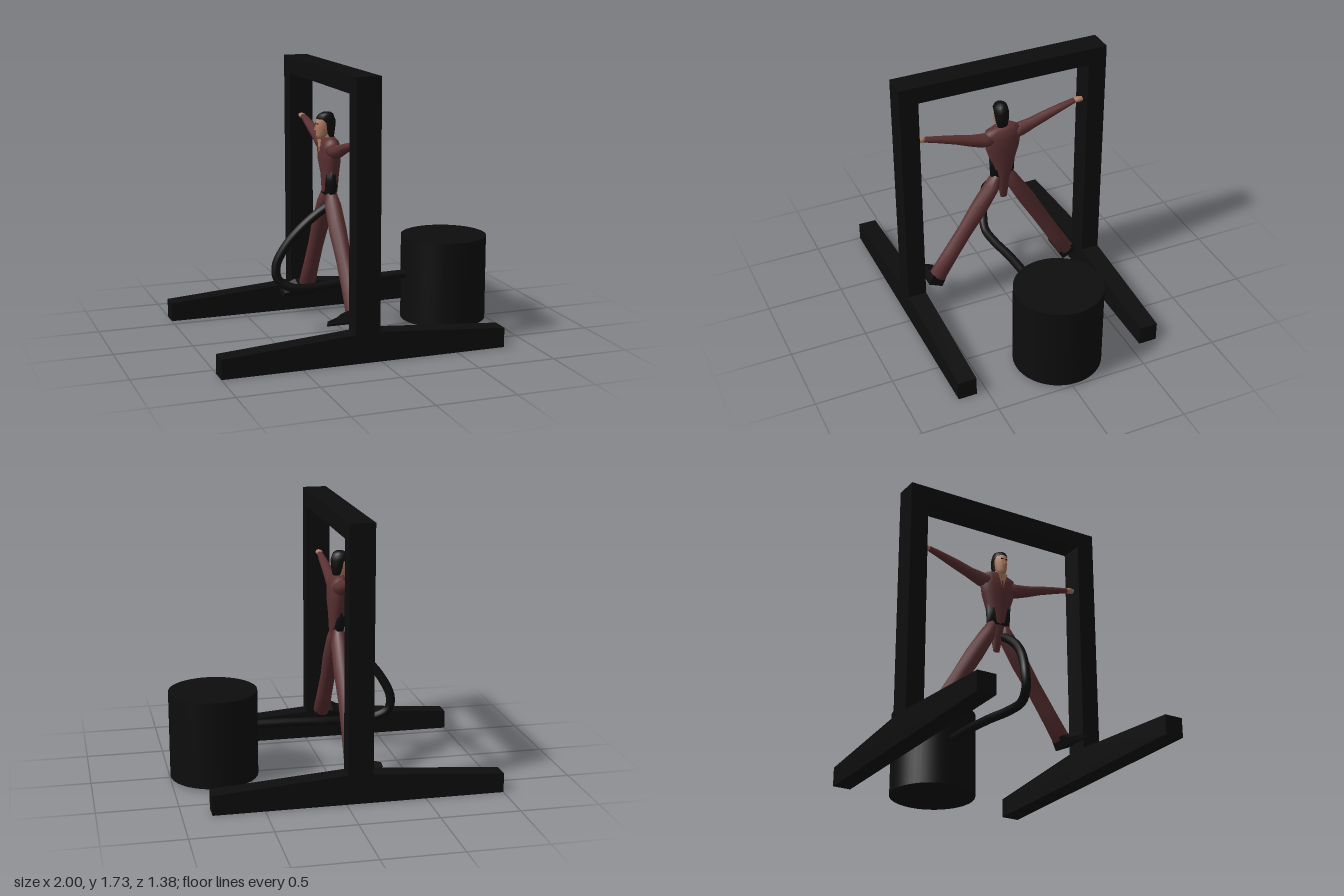
import * as THREE from 'three';

const mat = (name, color) => {
  const m = new THREE.MeshStandardMaterial({ color });
  m.name = name;
  return m;
};

// Closed skin through elliptical rings: [x, y, z, radius along x, radius across]
function loft(rings, sides = 10) {
  const pos = [], idx = [], n = rings.length, X = new THREE.Vector3(1, 0, 0);
  const c = rings.map(r => new THREE.Vector3(r[0], r[1], r[2]));
  rings.forEach((r, i) => {
    const t = c[Math.min(i + 1, n - 1)].clone().sub(c[Math.max(i - 1, 0)]);
    t.x = 0;
    const v = t.normalize().cross(X);
    for (let j = 0; j < sides; j++) {
      const a = j / sides * Math.PI * 2;
      const p = c[i].clone().addScaledVector(X, Math.cos(a) * r[3]).addScaledVector(v, Math.sin(a) * r[4]);
      pos.push(p.x, p.y, p.z);
    }
  });
  pos.push(...c[0].toArray(), ...c[n - 1].toArray());
  for (let j = 0; j < sides; j++) {
    const k = (j + 1) % sides, e = (n - 1) * sides;
    for (let i = 0; i < n - 1; i++) {
      const o = i * sides;
      idx.push(o + j, o + k, o + sides + k, o + j, o + sides + k, o + sides + j);
    }
    idx.push(n * sides, k, j, n * sides + 1, e + j, e + k);
  }
  const g = new THREE.BufferGeometry();
  g.setAttribute('position', new THREE.Float32BufferAttribute(pos, 3));
  g.setIndex(idx);
  g.computeVertexNormals();
  return g;
}

// Side profile in x and y, given thickness centred on z = 0
function slab(points, depth) {
  const shape = new THREE.Shape(points.map(p => new THREE.Vector2(p[0], p[1])));
  return new THREE.ExtrudeGeometry(shape, { depth, bevelEnabled: false }).translate(0, 0, -depth / 2);
}

export function createModel() {
  const black = mat('black', 0x0d0d0d);
  const cloth = mat('maroon cloth', 0x5a3031);
  const skin = mat('skin', 0xb07c60);
  const root = new THREE.Group();
  const figure = new THREE.Group();
  figure.name = 'figure';
  root.add(figure);
  const add = (name, geo, m, parent = root) => {
    const mesh = new THREE.Mesh(geo, m);
    mesh.name = name;
    parent.add(mesh);
    return mesh;
  };

  // Frame: two tapered feet, two posts and a crossbeam
  for (const s of [1, -1]) {
    add('baseBar', slab([[-1, 0], [0.82, 0], [0.82, 0.125], [-0.01, 0.188], [-0.17, 0.183], [-1, 0.122]], 0.12), black)
      .position.z = s * 0.628;
    add('post', new THREE.BoxGeometry(0.157, 1.73, 0.12), black).position.set(-0.088, 0.865, s * 0.628);
  }
  add('crossbeam', new THREE.BoxGeometry(0.157, 0.11, 1.14), black).position.set(-0.088, 1.675, 0);

  // Drum and the hose that loops to it
  add('drum', new THREE.CylinderGeometry(0.281, 0.281, 0.56, 48), black).position.set(0.718, 0.296, -0.028);
  const hose = new THREE.CatmullRomCurve3([
    [0.46, 0.33, -0.03], [0.2, 0.325, -0.027], [0, 0.315, -0.02], [-0.2, 0.305, 0],
    [-0.34, 0.315, 0.005], [-0.43, 0.37, -0.02], [-0.44, 0.46, -0.03], [-0.38, 0.59, -0.01],
    [-0.28, 0.71, 0.015], [-0.17, 0.8, 0.025], [-0.09, 0.85, 0.03],
  ].map(p => new THREE.Vector3(...p)));
  add('hose', new THREE.TubeGeometry(hose, 64, 0.029, 12), black);

  // Torso: dark shirt under a jacket that tapers to a tail
  add('shirt', loft([[-0.09, 0.91, -0.01, 0.042, 0.08], [-0.09, 1.0, -0.01, 0.045, 0.085], [-0.09, 1.1, -0.01, 0.045, 0.09]]), black, figure);
  add('jacket', loft([
    [-0.085, 0.74, -0.02, 0.012, 0.022], [-0.085, 0.84, -0.018, 0.03, 0.038],
    [-0.085, 0.93, -0.013, 0.05, 0.056], [-0.085, 1.04, -0.012, 0.055, 0.085],
    [-0.088, 1.13, -0.012, 0.066, 0.115], [-0.09, 1.21, -0.015, 0.065, 0.126],
    [-0.09, 1.255, -0.015, 0.052, 0.12], [-0.092, 1.278, -0.013, 0.036, 0.075],
  ], 12), cloth, figure);
  const collar = add('openCollar', new THREE.ShapeGeometry(new THREE.Shape([
    new THREE.Vector2(-0.035, 0.05), new THREE.Vector2(0, -0.06), new THREE.Vector2(0.035, 0.05),
  ])), skin, figure);
  collar.position.set(-0.154, 1.215, -0.013);
  collar.rotation.set(0, -Math.PI / 2, 0);

  // Arms, reaching to the posts
  const arms = [
    [1, [[0.06, 1.2, 0.05, 0.045], [0.12, 1.197, 0.046, 0.046], [0.21, 1.22, 0.038, 0.036], [0.3, 1.25, 0.034, 0.029], [0.42, 1.283, 0.028, 0.022], [0.515, 1.307, 0.02, 0.017]], 1.312],
    [-1, [[0.08, 1.21, 0.05, 0.045], [0.14, 1.222, 0.046, 0.048], [0.22, 1.245, 0.038, 0.037], [0.31, 1.275, 0.034, 0.034], [0.42, 1.31, 0.028, 0.024], [0.515, 1.337, 0.02, 0.017]], 1.338],
  ];
  for (const [s, rings, y] of arms) {
    add('sleeve', loft(rings.map(([z, h, a, b]) => [-0.09, h, s * z, a, b])), cloth, figure);
    add('hand', loft([[-0.09, y - 0.004, s * 0.505, 0.015, 0.014], [-0.09, y, s * 0.54, 0.024, 0.018], [-0.09, y, s * 0.578, 0.018, 0.014]], 8), skin, figure);
  }

  // Legs and shoes, spread apart
  const legs = [
    [1, [[0.03, 0.92, 0.035, 0.03], [0.06, 0.84, 0.055, 0.05], [0.15, 0.7, 0.058, 0.057], [0.25, 0.55, 0.05, 0.052], [0.35, 0.4, 0.052, 0.053], [0.455, 0.24, 0.056, 0.058]], [0.485, 0.195]],
    [-1, [[0.05, 0.93, 0.035, 0.03], [0.09, 0.84, 0.055, 0.05], [0.18, 0.69, 0.058, 0.057], [0.28, 0.52, 0.05, 0.053], [0.38, 0.35, 0.052, 0.053], [0.475, 0.185, 0.056, 0.058]], [0.49, 0.148]],
  ];
  const shoe = [[0.045, 0], [0.045, 0.065], [-0.07, 0.07], [-0.11, 0.045], [-0.165, 0.03], [-0.175, 0]];
  for (const [s, rings, [z, y]] of legs) {
    add('trouserLeg', loft(rings.map(([w, h, a, b]) => [-0.088, h, s * w, a, b])), cloth, figure);
    const m = add('shoe', slab(shoe, 0.1), black, figure);
    m.position.set(-0.09, y, s * z);
    m.rotation.x = -s * 0.42;
  }

  // Neck, head, nose, hair and eyes
  add('neck', new THREE.CylinderGeometry(0.03, 0.034, 0.1, 10), skin, figure).position.set(-0.1, 1.285, -0.012);
  add('head', loft([
    [-0.145, 1.265, -0.012, 0.022, 0.018], [-0.133, 1.29, -0.012, 0.042, 0.032],
    [-0.123, 1.34, -0.012, 0.055, 0.041], [-0.12, 1.385, -0.012, 0.055, 0.042],
    [-0.115, 1.42, -0.012, 0.035, 0.028],
  ], 12), skin, figure);
  add('hair', loft([
    [-0.085, 1.275, -0.012, 0.026, 0.034], [-0.092, 1.33, -0.012, 0.042, 0.045],
    [-0.1, 1.375, -0.012, 0.056, 0.047], [-0.113, 1.395, -0.012, 0.062, 0.046],
    [-0.108, 1.42, -0.012, 0.048, 0.038], [-0.103, 1.432, -0.012, 0.025, 0.022],
  ], 12), black, figure);
  const nose = add('nose', new THREE.ConeGeometry(0.01, 0.035, 4), skin, figure);
  nose.position.set(-0.178, 1.34, -0.012);
  for (const s of [1, -1])
    add('eye', new THREE.BoxGeometry(0.008, 0.006, 0.014), black, figure).position.set(-0.171, 1.362, -0.012 + s * 0.016);

  return root;
}
